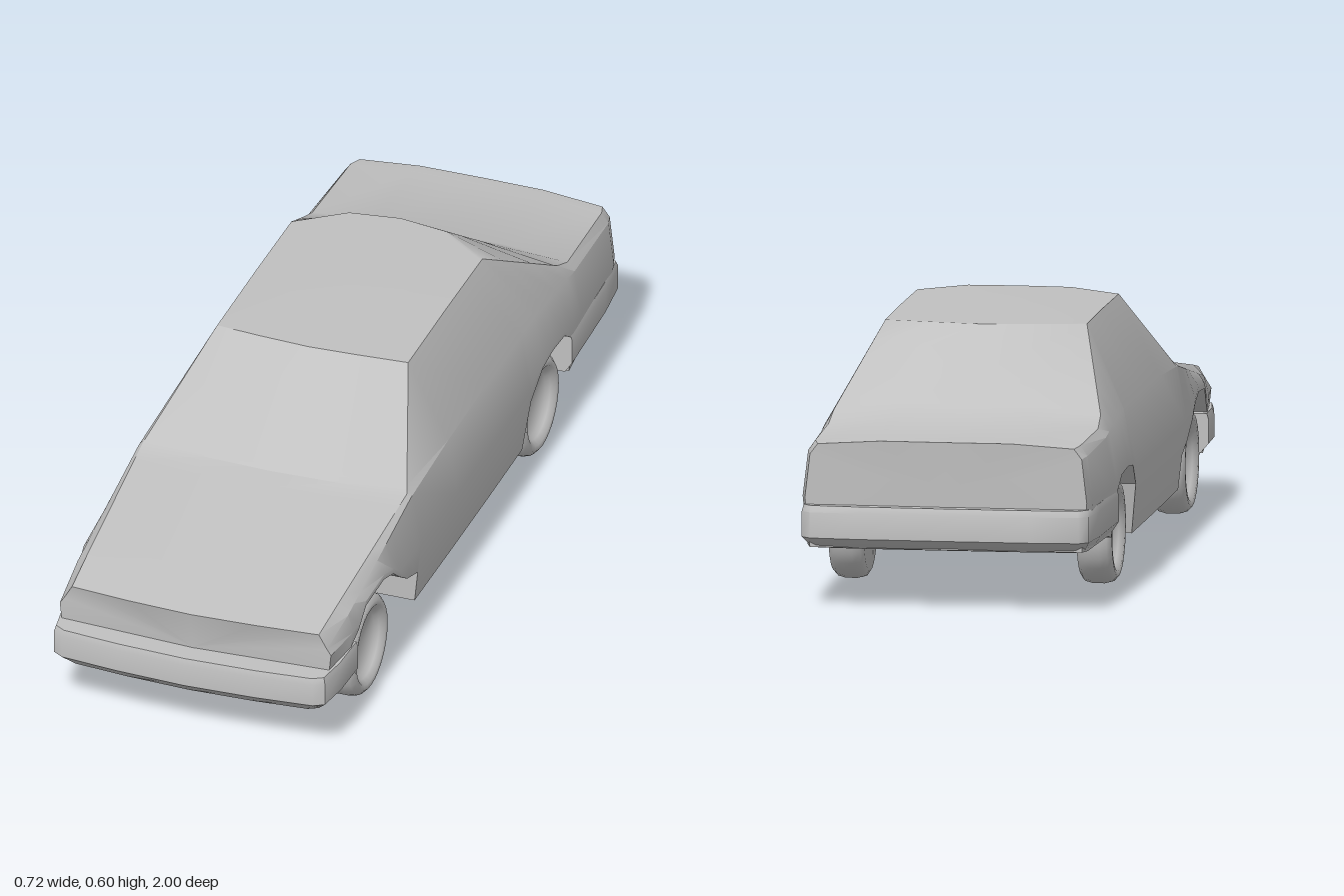
import * as THREE from 'three';
import { toCreasedNormals } from 'three/addons/utils/BufferGeometryUtils.js';

const paint = new THREE.MeshStandardMaterial({ color: 0xc0c0c0 });
paint.name = 'plain grey';

// Skin a list of closed rings of [x, y, z] and cap both ends.
function loft(rings, crease) {
  const pos = [];
  const n = rings[0].length;
  const tri = (...pts) => {
    const [a, b, c] = pts.map((p) => new THREE.Vector3(...p));
    if (b.clone().sub(a).cross(c.clone().sub(a)).length() > 1e-8) pts.forEach((p) => pos.push(...p));
  };
  const centre = (ring) => [0, 1, 2].map((k) => {
    const v = ring.map((p) => p[k]);
    return (Math.min(...v) + Math.max(...v)) / 2;
  });
  const first = rings[0], last = rings[rings.length - 1];
  for (let j = 0; j < n; j++) {
    const k = (j + 1) % n;
    for (let i = 0; i < rings.length - 1; i++) {
      const a = rings[i], b = rings[i + 1];
      tri(a[j], b[j], a[k]);
      tri(a[k], b[j], b[k]);
    }
    tri(centre(first), first[j], first[k]);
    tri(centre(last), last[k], last[j]);
  }
  const g = new THREE.BufferGeometry();
  g.setAttribute('position', new THREE.Float32BufferAttribute(pos, 3));
  return toCreasedNormals(g, crease);
}

// Half ring whose first and last points may lie on x = 0, mirrored to a full one.
const mirrorRing = (half) => [
  ...half,
  ...half.slice().reverse().filter((p) => p[0] > 1e-6).map(([x, y, z]) => [-x, y, z]),
];

// Linear lookup in a table sorted by falling z.
function sample(table, z) {
  let i = 0;
  while (i < table.length - 2 && z < table[i + 1][0]) i++;
  const a = table[i], b = table[i + 1];
  const t = THREE.MathUtils.clamp((a[0] - z) / (a[0] - b[0]), 0, 1);
  return a.map((v, k) => v + (b[k] - v) * t);
}

// Body stations: z, half width, floor, shoulder x y, top edge x y, crown, z shift of top edge and of centre
const STATIONS = [
  [0.925, 0.335, 0.120, 0.325, 0.270, 0.305, 0.305, 0.010, 0, 0.035],
  [0.810, 0.347, 0.118, 0.335, 0.300, 0.310, 0.325, 0.010, 0, 0.033],
  [0.400, 0.357, 0.095, 0.336, 0.382, 0.326, 0.390, 0.010, 0, 0.030],
  [0.150, 0.358, 0.095, 0.335, 0.395, 0.236, 0.584, 0.010, 0, 0.030],
  [-0.100, 0.358, 0.095, 0.335, 0.400, 0.236, 0.586, 0.011, 0, 0],
  [-0.430, 0.356, 0.095, 0.335, 0.400, 0.236, 0.584, 0.008, 0.09, 0],
  [-0.640, 0.352, 0.130, 0.334, 0.378, 0.312, 0.415, 0.018, 0.01, 0],
  [-0.690, 0.350, 0.140, 0.333, 0.370, 0.315, 0.391, 0.014, 0, 0],
  [-0.930, 0.340, 0.140, 0.327, 0.362, 0.310, 0.386, 0.010, 0, -0.005],
  [-0.962, 0.330, 0.140, 0.318, 0.358, 0.300, 0.382, 0.010, 0, -0.008],
];

// Wheel-arch height along the sides: z, y
const ARCHES = [
  [0.815, 0], [0.812, 0.215], [0.77, 0.24], [0.73, 0.282], [0.62, 0.29], [0.56, 0.272],
  [0.52, 0.24], [0.46, 0.2], [0.387, 0.175], [0.384, 0],
  [-0.328, 0], [-0.335, 0.13], [-0.352, 0.215], [-0.42, 0.268], [-0.49, 0.275],
  [-0.57, 0.268], [-0.634, 0.225], [-0.638, 0],
];

function bodyGeometry() {
  const zs = [...new Set([...STATIONS, ...ARCHES].map((s) => s[0]))].sort((a, b) => b - a);
  const rings = zs.map((z) => {
    const [, w, floor, sx, sy, tx, ty, crown, dzEdge, dzMid] = sample(STATIONS, z);
    const arch = Math.max(floor, sample(ARCHES, z)[1]);
    const waist = Math.max(0.255, arch + 0.012);
    const sill = w * (0.95 + 0.05 * Math.min(1, (arch - 0.095) / 0.16));
    return mirrorRing([
      [0, floor, z + dzMid],
      [0.235, floor, z],
      [0.235, arch, z],
      [sill, arch, z],
      [w, waist, z],
      [sx, sy, z],
      [tx, ty, z + dzEdge],
      [tx * 0.51, ty + crown, z + dzEdge * 0.2 + dzMid * 0.8],
      [0, ty + crown, z + dzMid],
    ]);
  });
  return loft(rings, 0.5);
}

// Wrap-round bumper from stacked plan outlines; levels run from top to bottom as [y, scale].
function bumperGeometry(plan, levels) {
  const zBack = plan[plan.length - 1][1];
  return loft(levels.map(([y, s]) => mirrorRing(
    plan.map(([x, z]) => [x * (0.5 + s / 2), y, zBack + (z - zBack) * s]))), 0.75);
}

// Tyre with a dished outer face, axis along y, outer face at +y
function wheelGeometry() {
  const profile = [
    [0, -0.042], [0.108, -0.042], [0.12, -0.034], [0.125, -0.015], [0.125, 0.012],
    [0.12, 0.03], [0.108, 0.041], [0.096, 0.04], [0.085, 0.028], [0.078, 0.018], [0, 0.012],
  ].map(([r, h]) => new THREE.Vector2(r, h));
  return toCreasedNormals(new THREE.LatheGeometry(profile, 28).toNonIndexed(), 0.9);
}

export function createModel() {
  const car = new THREE.Group();
  car.name = 'car';
  const add = (name, geometry) => {
    const mesh = new THREE.Mesh(geometry, paint);
    mesh.name = name;
    car.add(mesh);
    return mesh;
  };

  add('body', bodyGeometry());

  add('frontBumper', bumperGeometry(
    [[0, 1], [0.17, 0.993], [0.31, 0.98], [0.335, 0.965], [0.347, 0.89], [0.35, 0.785]],
    [[0.215, 0.975], [0.2, 1], [0.145, 1], [0.115, 0.85]]));

  add('rearBumper', bumperGeometry(
    [[0, 1], [0.2, 0.998], [0.315, 0.99], [0.336, 0.97], [0.346, 0.86], [0.353, 0.62]],
    [[0.24, 0.98], [0.225, 1], [0.165, 1], [0.138, 0.9]])).rotation.y = Math.PI;

  // Wheels
  const wheel = wheelGeometry();
  for (const [end, z] of [['front', 0.65], ['rear', -0.48]]) {
    for (const [side, s] of [['Left', 1], ['Right', -1]]) {
      const mesh = add(`${end}${side}Wheel`, wheel);
      mesh.position.set(s * 0.291, 0.125, z);
      mesh.rotation.z = -s * Math.PI / 2;
    }
  }
  return car;
}
